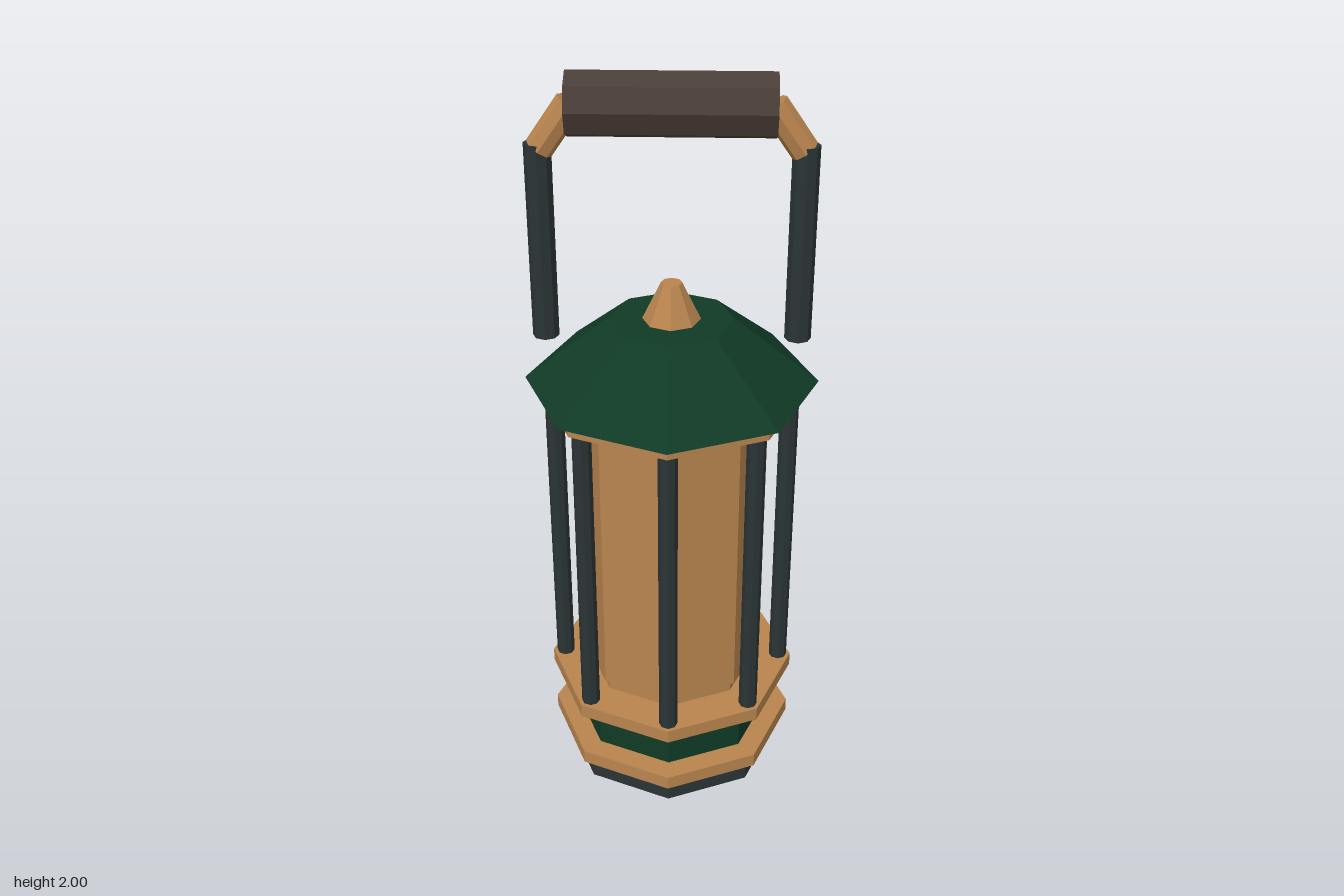
import * as THREE from 'three';

const mat = (name, color) => {
  const m = new THREE.MeshStandardMaterial({ color, flatShading: true });
  m.name = name;
  return m;
};

export function createModel() {
  const green = mat('green enamel', 0x103a26);
  const brass = mat('brass', 0xb8844e);
  const iron = mat('dark iron', 0x2b3435);
  const wood = mat('grip brown', 0x4a3d37);
  const lantern = new THREE.Group();
  lantern.name = 'lantern';

  const add = (name, geometry, material) => {
    const mesh = new THREE.Mesh(geometry, material);
    mesh.name = name;
    lantern.add(mesh);
    return mesh;
  };

  // Octagonal drum between two heights, corners on the x and z axes
  const drum = (name, y0, y1, rBottom, rTop, material) => {
    const mesh = add(name, new THREE.CylinderGeometry(rTop, rBottom, y1 - y0, 8), material);
    mesh.position.y = (y0 + y1) / 2;
    return mesh;
  };

  // Eight-sided bar between two points
  const bar = (name, a, b, radius, material) => {
    const dir = b.clone().sub(a);
    const mesh = add(name, new THREE.CylinderGeometry(radius, radius, dir.length(), 8), material);
    mesh.position.copy(a).add(b).multiplyScalar(0.5);
    mesh.quaternion.setFromUnitVectors(new THREE.Vector3(0, 1, 0), dir.normalize());
    return mesh;
  };
  const V = (x, y, z) => new THREE.Vector3(x, y, z);

  // Base
  drum('foot', 0, 0.07, 0.31, 0.31, iron);
  drum('lowerBand', 0.07, 0.11, 0.342, 0.342, brass);
  drum('tank', 0.11, 0.25, 0.28, 0.28, green);

  // Cage ring with a chamfered lower edge
  const profile = [[0.24, 0.235], [0.335, 0.235], [0.346, 0.246], [0.346, 0.285], [0.23, 0.285], [0.24, 0.235]];
  add('cageRing', new THREE.LatheGeometry(profile.map(([x, y]) => new THREE.Vector2(x, y)), 8), brass);

  // Glass and its collar
  drum('glassCollar', 0.25, 0.325, 0.24, 0.24, brass);
  drum('glass', 0.32, 1.125, 0.255, 0.255, brass);

  // Cage rods, one at each corner
  for (let i = 0; i < 8; i++) {
    const a = (i * Math.PI) / 4;
    const x = 0.31 * Math.sin(a), z = 0.31 * Math.cos(a);
    bar('cageRod', V(x, 0.27, z), V(x, 1.165, z), 0.025, iron);
  }

  // Roof
  drum('roofBand', 1.155, 1.19, 0.351, 0.351, brass);
  drum('roof', 1.19, 1.365, 0.383, 0.162, green);
  drum('finial', 1.365, 1.465, 0.075, 0.027, brass);

  // Carrying handle
  for (const s of [1, -1]) {
    bar('handleUpright', V(s * 0.322, 1.315, 0), V(s * 0.322, 1.825, 0), 0.034, iron);
    bar('handleElbow', V(s * 0.318, 1.81, 0), V(s * 0.24, 1.922, 0), 0.036, brass);
  }
  bar('grip', V(-0.25, 1.92, 0), V(0.25, 1.92, 0), 0.08, wood);

  return lantern;
}
